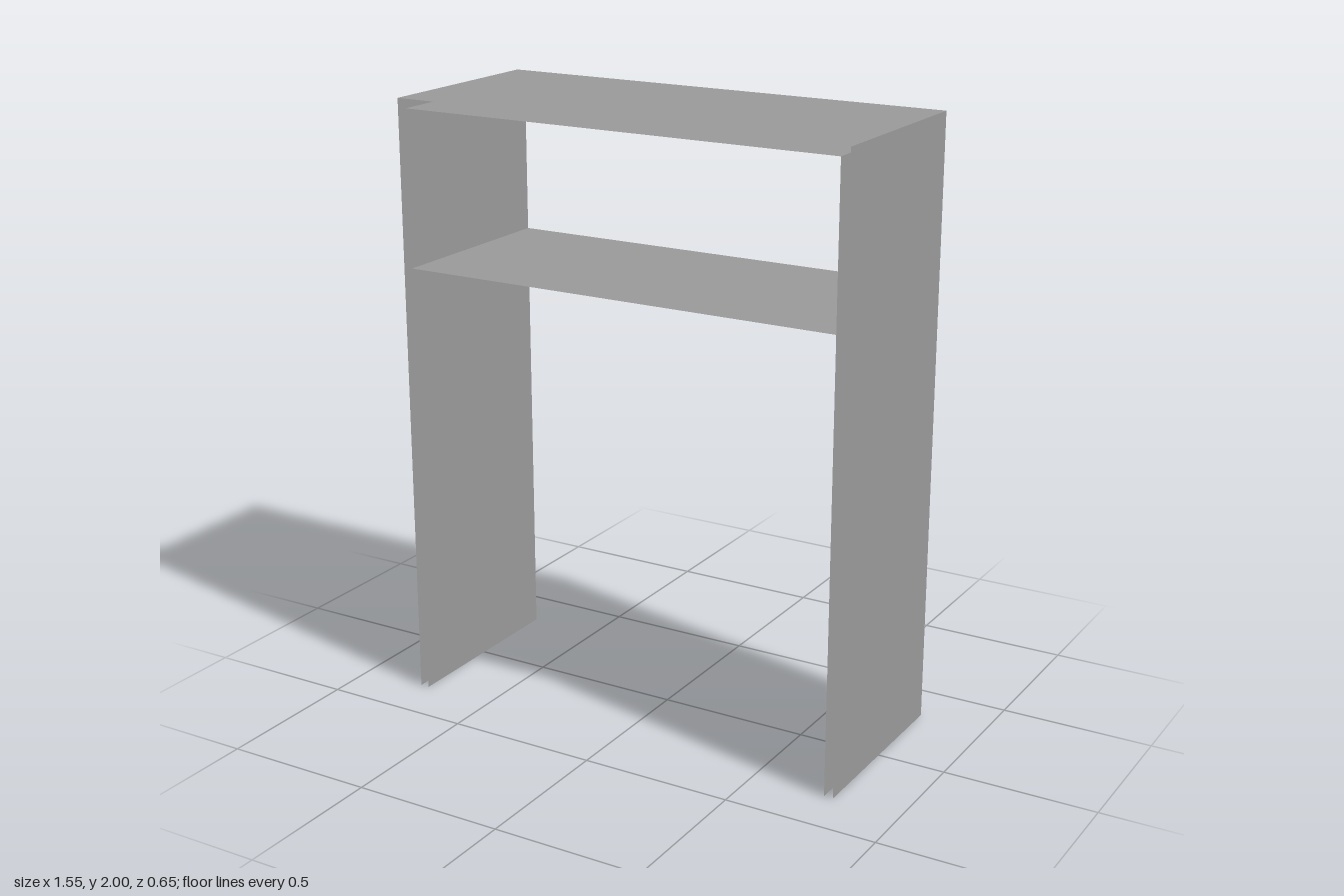
import * as THREE from 'three';

const W = 0.777, IN = 0.747, H = 2, TOP = 1.97, D = 0.327;
const SHELF = 1.46, LIP = 1.43;

export function createModel() {
  const group = new THREE.Group();
  group.name = 'shelfUnit';
  const grey = new THREE.MeshStandardMaterial({ color: 0x999999, side: THREE.DoubleSide });
  grey.name = 'grey';

  const add = (name, geometry) => {
    const mesh = new THREE.Mesh(geometry, grey);
    mesh.name = name;
    group.add(mesh);
    return mesh;
  };

  // Thin upright sheet facing +x or -x
  const upright = (name, x, height, facing) => {
    const g = new THREE.PlaneGeometry(2 * D, height).rotateY(facing * Math.PI / 2);
    add(name, g.translate(x, height / 2, 0));
  };

  // Thin level sheet facing up or down
  const level = (name, y, halfWidth, facing) => {
    const g = new THREE.PlaneGeometry(2 * halfWidth, 2 * D).rotateX(-facing * Math.PI / 2);
    add(name, g.translate(0, y, 0));
  };

  // Hollow side panels, open at the front and bottom
  for (const [side, s] of [['left', 1], ['right', -1]]) {
    upright(side + 'PanelOuter', s * W, H, s);
    upright(side + 'PanelInner', s * IN, TOP, -s);
  }

  // Hollow top and single-sheet shelf
  level('topOuter', H, W, 1);
  level('topUnderside', TOP, IN, -1);
  level('shelf', SHELF, IN, 1);

  // Back edge closing the panels and top, with a lip under the shelf
  const rect = (Type, x, y0, y1) => new Type([
    new THREE.Vector2(-x, y0), new THREE.Vector2(x, y0),
    new THREE.Vector2(x, y1), new THREE.Vector2(-x, y1),
  ]);
  const frame = new THREE.Shape([
    [-W, 0], [-IN, 0], [-IN, LIP], [IN, LIP], [IN, 0], [W, 0], [W, H], [-W, H],
  ].map(([x, y]) => new THREE.Vector2(x, y)));
  frame.holes.push(rect(THREE.Path, IN, SHELF, TOP));
  add('backEdge', new THREE.ShapeGeometry(frame).rotateY(Math.PI).translate(0, 0, -D));

  return group;
}
